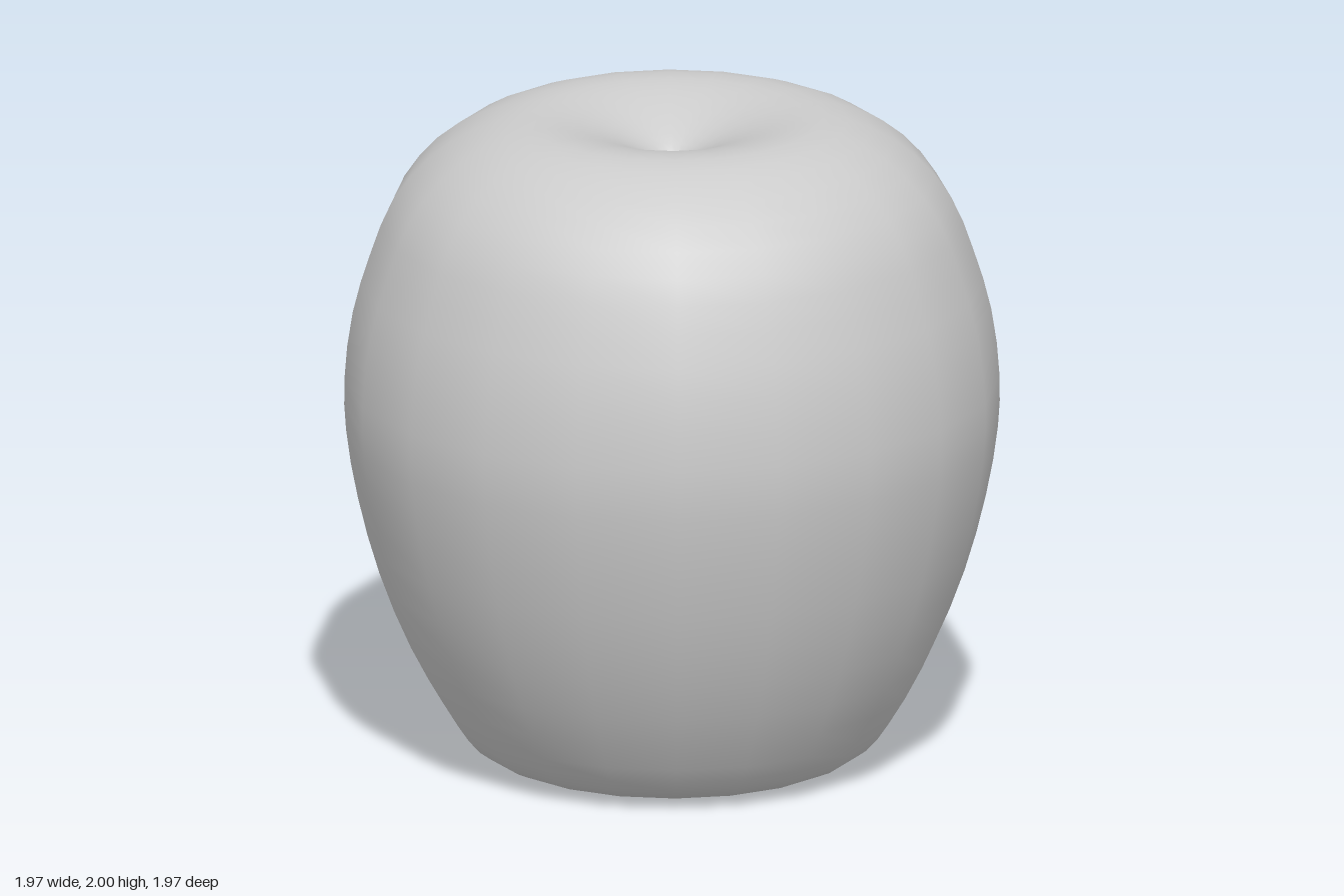
import * as THREE from 'three';

export function createModel() {
  const group = new THREE.Group();
  group.name = 'apple';

  // Half profile, from the tip of the lower hollow, out round the body, to the tip of the stem hollow
  const profile = [
    [0, 0.4], [0.06, 0.28], [0.13, 0.15], [0.21, 0.07], [0.31, 0.02], [0.42, 0],
    [0.54, 0.02], [0.61, 0.06], [0.68, 0.15], [0.785, 0.335], [0.88, 0.57],
    [0.945, 0.81], [0.98, 1.02], [0.985, 1.18], [0.96, 1.39], [0.905, 1.58],
    [0.84, 1.74], [0.735, 1.87], [0.6, 1.96], [0.46, 2], [0.34, 1.99],
    [0.22, 1.955], [0.12, 1.91], [0.06, 1.865], [0.03, 1.8], [0, 1.7],
  ].map(([r, y]) => new THREE.Vector3(r, y, 0));

  const points = new THREE.CatmullRomCurve3(profile, false, 'centripetal')
    .getPoints((profile.length - 1) * 2)
    .map((p) => new THREE.Vector2(Math.max(p.x, 0), THREE.MathUtils.clamp(p.y, 0, 2)));

  // Body: smooth shading on a twenty-sided turn
  const body = new THREE.Mesh(
    new THREE.LatheGeometry(points, 20),
    new THREE.MeshStandardMaterial({ color: 0xcccccc })
  );
  body.name = 'appleBody';
  group.add(body);
  return group;
}
